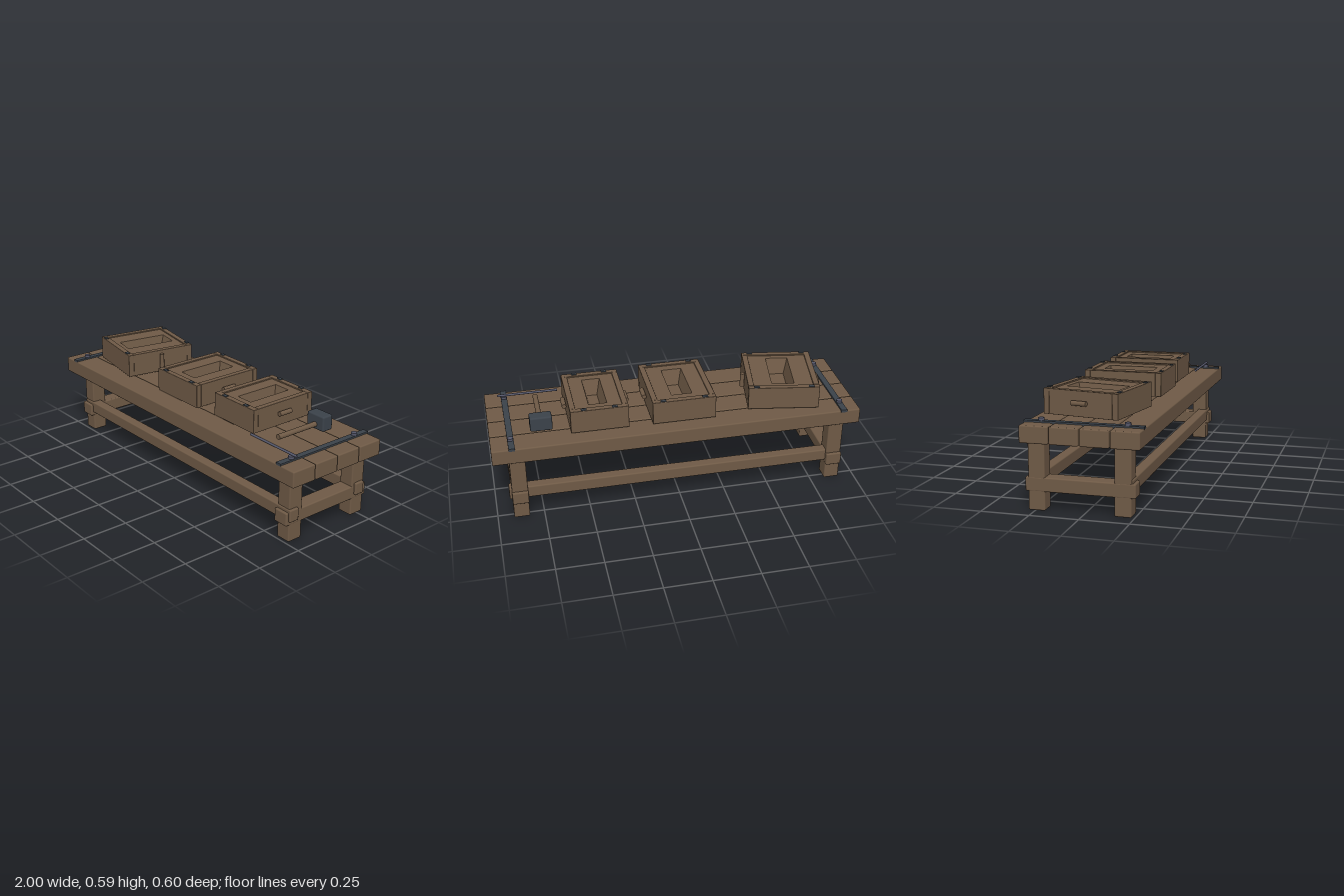
import * as THREE from 'three';
import { RoundedBoxGeometry } from 'three/addons/geometries/RoundedBoxGeometry.js';

const mat = (name, color) => {
  const m = new THREE.MeshStandardMaterial({ color });
  m.name = name;
  return m;
};

export function createModel() {
  const wood = mat('wood', 0x6f5a46);
  const iron = mat('dark iron', 0x3b424a);
  const steel = mat('bolt steel', 0x55576a);
  const root = new THREE.Group();
  root.name = 'workbench';

  const add = (parent, name, geo, material, x, y, z) => {
    const m = new THREE.Mesh(geo, material);
    m.name = name;
    m.position.set(x, y, z);
    parent.add(m);
    return m;
  };
  // Rounded block given by its minimum and maximum corners
  const block = (parent, name, material, [x0, y0, z0], [x1, y1, z1], r = 0.007) =>
    add(parent, name, new RoundedBoxGeometry(x1 - x0, y1 - y0, z1 - z0, 2, r), material,
      (x0 + x1) / 2, (y0 + y1) / 2, (z0 + z1) / 2);
  // Round bar along one axis
  const bar = (parent, name, material, axis, r, length, x, y, z) => {
    const g = new THREE.CylinderGeometry(r, r, length, 16);
    if (axis === 'x') g.rotateZ(Math.PI / 2);
    if (axis === 'z') g.rotateX(Math.PI / 2);
    return add(parent, name, g, material, x, y, z);
  };

  // Table top of four planks
  for (let i = 0; i < 4; i++) {
    const z = -0.295 + i * 0.15;
    block(root, 'plank', wood, [-1, 0.355, z], [1, 0.442, z + 0.145]);
  }

  // Legs, cross rails and long rails
  for (const s of [-1, 1]) {
    for (const z of [-0.2425, 0.1925])
      block(root, 'leg', wood, [s * 0.871 - 0.042, 0.002, z - 0.0425], [s * 0.871 + 0.042, 0.358, z + 0.0425]);
    block(root, 'crossRail', wood, [s * 0.871 - 0.043, 0.097, -0.3], [s * 0.871 + 0.043, 0.169, 0.256]);
  }
  for (const z of [-0.246, 0.212])
    block(root, 'longRail', wood, [-0.905, 0.118, z - 0.029], [0.927, 0.186, z + 0.029]);

  // Iron straps with bolts
  for (const x of [-0.905, 0.893]) {
    add(root, 'strap', new THREE.BoxGeometry(0.033, 0.016, 0.599), iron, x, 0.443, 0);
    for (const z of [-0.213, 0.217]) bar(root, 'bolt', steel, 'y', 0.015, 0.014, x, 0.458, z);
  }

  // Filling with a tapered hollow, made from rectangular loops
  const fillGeometry = (w, d, hw, hd) => {
    const loops = [[w, d, 0.121], [hw, hd, 0.121], [hw - 0.04, hd - 0.055, 0.035]].map(([a, b, y]) =>
      [[-1, -1], [-1, 1], [1, 1], [1, -1]].map(([sx, sz]) => [sx * a / 2, y, sz * b / 2]));
    const pos = [];
    const quad = (a, b, c, e) => pos.push(...a, ...b, ...c, ...a, ...c, ...e);
    for (let k = 0; k < 2; k++)
      for (let i = 0; i < 4; i++) {
        const j = (i + 1) % 4;
        quad(loops[k][i], loops[k][j], loops[k + 1][j], loops[k + 1][i]);
      }
    quad(...loops[2]);
    const g = new THREE.BufferGeometry();
    g.setAttribute('position', new THREE.Float32BufferAttribute(pos, 3));
    g.computeVertexNormals();
    return g;
  };

  // Casting box: walls, base, filling, clips and two grips
  const mouldBox = (name, x, z, w, d, hw, hd, clip, turn, uprightGrip) => {
    const g = new THREE.Group();
    g.name = name;
    g.position.set(x, 0.455, z);
    g.rotation.y = turn;
    root.add(g);
    const t = 0.031, h = 0.128;
    for (const s of [-1, 1]) {
      block(g, 'endWall', wood, [-w / 2, 0, s * (d - t) / 2 - t / 2], [w / 2, h, s * (d - t) / 2 + t / 2], 0.002);
      block(g, 'sideWall', wood, [s * (w - t) / 2 - t / 2, 0, -d / 2 + t], [s * (w - t) / 2 + t / 2, h, d / 2 - t], 0.002);
      for (const c of [-1, 1])
        add(g, 'clip', new THREE.BoxGeometry(0.029, 0.008, 0.018), iron, c * clip, h, s * (d / 2 - 0.011));
      const upright = uprightGrip && s > 0;
      bar(g, 'grip', wood, upright ? 'y' : 'z', 0.0125, 0.08, s * (w / 2 + 0.014), 0.069, 0);
    }
    add(g, 'base', new THREE.BoxGeometry(w - 2 * t, 0.02, d - 2 * t), wood, 0, 0.012, 0);
    add(g, 'filling', fillGeometry(w - 2 * t, d - 2 * t, hw, hd), wood, 0, 0, 0);
  };
  mouldBox('largeMouldBox', -0.617, -0.018, 0.385, 0.405, 0.122, 0.285, 0.148, -0.17, true);
  mouldBox('middleMouldBox', -0.031, -0.014, 0.343, 0.424, 0.112, 0.272, 0.113, 0, false);
  mouldBox('smallMouldBox', 0.422, -0.022, 0.309, 0.403, 0.098, 0.262, 0.082, 0, false);

  // Mallet
  const mallet = new THREE.Group();
  mallet.name = 'mallet';
  root.add(mallet);
  block(mallet, 'malletHead', iron, [0.666, 0.455, -0.17], [0.784, 0.537, -0.103], 0.009);
  bar(mallet, 'malletHandle', wood, 'z', 0.014, 0.27, 0.726, 0.483, 0.015);

  // Poking rod resting on the strap
  bar(root, 'rod', steel, 'x', 0.0065, 0.33, 0.763, 0.472, 0.214);
  return root;
}
